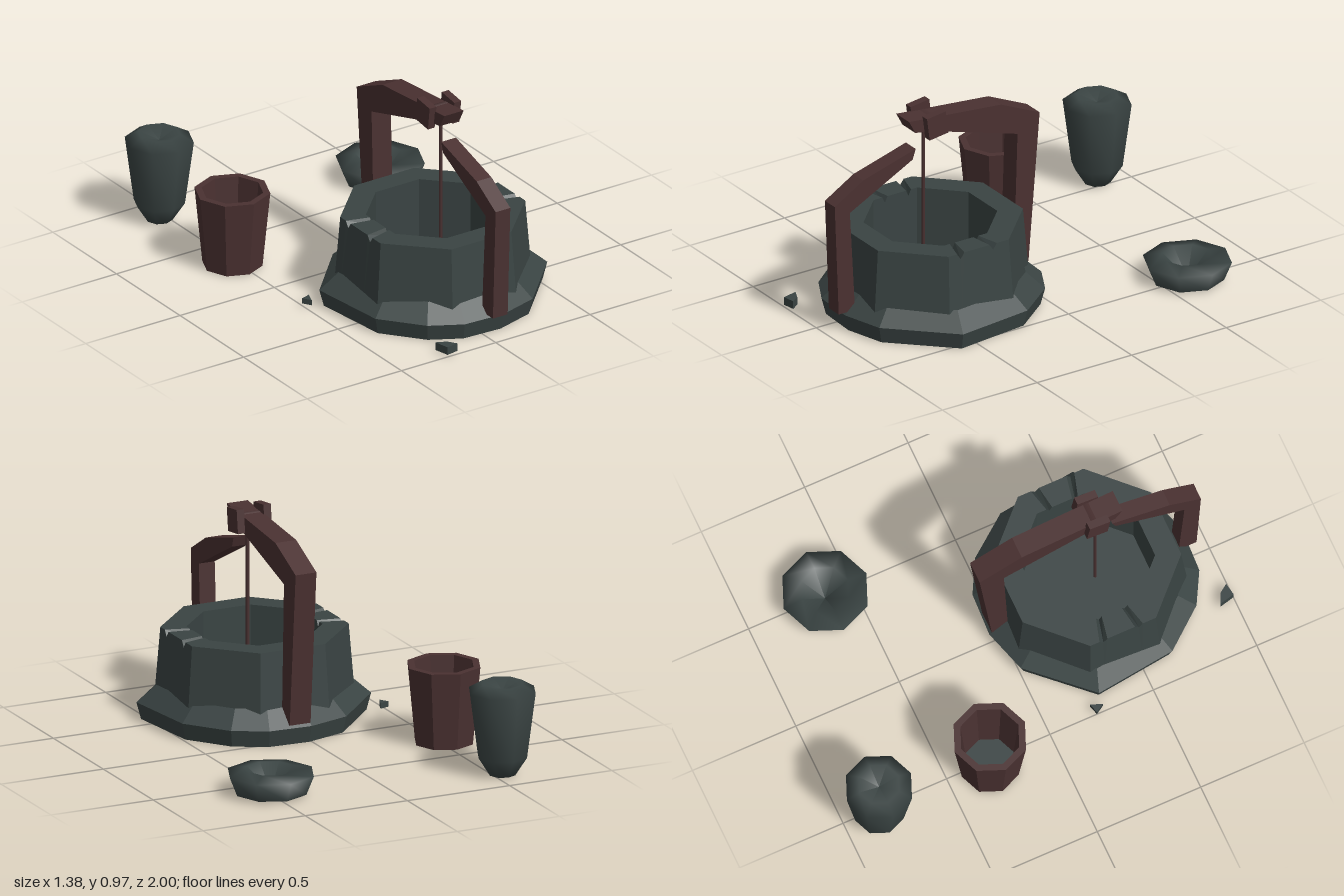
import * as THREE from 'three';

const CX = 0.05, CZ = 0.43; // centre of the well

export function createModel() {
  const model = new THREE.Group();
  const stone = new THREE.MeshStandardMaterial({ color: 0x3a4443 });
  stone.name = 'slate stone';
  const wood = new THREE.MeshStandardMaterial({ color: 0x4a3131 });
  wood.name = 'dark wood';
  const clay = new THREE.MeshStandardMaterial({ color: 0x3a4443, side: THREE.DoubleSide });
  clay.name = 'slate clay';

  const add = (name, geometry, material, x = 0, y = 0, z = 0) => {
    const mesh = new THREE.Mesh(geometry, material);
    mesh.name = name;
    mesh.position.set(x, y, z);
    model.add(mesh);
    return mesh;
  };
  const faceted = (g) => {
    const flat = g.index ? g.toNonIndexed() : g;
    flat.computeVertexNormals();
    return flat;
  };
  const lathe = (pts) => new THREE.LatheGeometry(pts.map(([r, y]) => new THREE.Vector2(r, y)), 8);

  // closed loop of profiles joined by flat quads
  const loft = (columns) => {
    const pos = [];
    columns.forEach((col, j) => {
      const next = columns[(j + 1) % columns.length];
      for (let i = 0; i < col.length - 1; i++) {
        pos.push(...col[i], ...col[i + 1], ...next[i]);
        pos.push(...col[i + 1], ...next[i + 1], ...next[i]);
      }
    });
    const g = new THREE.BufferGeometry();
    g.setAttribute('position', new THREE.Float32BufferAttribute(pos, 3));
    return faceted(g);
  };

  // irregular flared base with a hollow underside
  const basePlan = [
    [-0.19, 0], [0.01, -0.06], [0.21, -0.05], [0.36, 0.03], [0.505, 0.22], [0.55, 0.59],
    [0.29, 0.86], [0.10, 0.915], [-0.10, 0.905], [-0.245, 0.825], [-0.395, 0.64], [-0.44, 0.265],
  ];
  add('wellBase', loft(basePlan.map(([px, pz]) => {
    const x = px - CX, z = pz - CZ, k = 0.29 / Math.hypot(x, z);
    return [[x * k, 0.1, z * k], [x * 0.96, 0.01, z * 0.96], [x, 0.088, z], [x * 0.83, 0.165, z * 0.83]];
  })), stone, CX, 0, CZ);

  // eight-sided wall, with two V grooves across the rim on each side
  const wall = [];
  const corner = (i) => {
    const a = (i - 0.5) * Math.PI / 4;
    return [Math.cos(a), Math.sin(a)];
  };
  for (let s = 0; s < 8; s++) {
    const a = corner(s), b = corner(s + 1);
    const stops = [[0, 0]];
    if (s % 4 === 0) {
      for (const t of [0.26, 0.8]) stops.push([t - 0.06, 0], [t, 0.028], [t + 0.06, 0]);
    }
    for (const [t, dip] of stops) {
      const x = a[0] + (b[0] - a[0]) * t, z = a[1] + (b[1] - a[1]) * t, h = 0.42 - dip;
      wall.push([[x * 0.44, 0.12, z * 0.44], [x * 0.415, h, z * 0.415],
        [x * 0.3, h, z * 0.3], [x * 0.3, 0.09, z * 0.3]]);
    }
  }
  add('wellWall', loft(wall), stone, CX, 0, CZ);
  const disc = (r) => new THREE.CircleGeometry(r, 8).rotateX(-Math.PI / 2);
  add('wellFloor', disc(0.31), clay, CX, 0.1, CZ).rotation.y = Math.PI / 8;

  // bent timbers, drawn as (z, y) outlines
  const timber = (name, pts, width) => {
    const shape = new THREE.Shape(pts.map(([z, y]) => new THREE.Vector2(z, y)));
    const g = new THREE.ExtrudeGeometry(shape, { depth: width, bevelEnabled: false });
    g.rotateY(-Math.PI / 2).translate(width / 2, 0, 0);
    add(name, g, wood, 0.06);
  };
  timber('frontArm', [[0.947, 0.1], [0.968, 0.63], [0.818, 0.72], [0.54, 0.8],
    [0.556, 0.752], [0.888, 0.58], [0.861, 0.1]], 0.078);
  timber('backArm', [[0.03, 0.1], [0.01, 0.736], [0.46, 0.87], [0.55, 0.885],
    [0.583, 0.947], [0.096, 0.902], [-0.107, 0.81], [-0.048, 0.1]], 0.102);

  // spool ends and rope
  for (const [x, y] of [[-0.003, 0.915], [0.128, 0.908]]) {
    const block = add('spoolEnd', new THREE.BoxGeometry(0.036, 0.108, 0.1), wood, x, y, 0.455);
    block.rotation.x = 0.13;
  }
  add('spoolAxle', new THREE.CylinderGeometry(0.03, 0.03, 0.13, 6).rotateZ(Math.PI / 2), wood, 0.062, 0.91, 0.455);
  add('rope', new THREE.CylinderGeometry(0.008, 0.008, 0.78, 6), wood, 0.062, 0.49, 0.475);

  // bucket with stone-coloured bottom
  add('bucket', faceted(lathe([[0.135, 0.012], [0.17, 0.37], [0.138, 0.37], [0.115, 0.04]])), wood, -0.52, 0, -0.3);
  add('bucketFloor', disc(0.117), clay, -0.52, 0.045, -0.3);
  add('bucketBottom', disc(0.135), clay, -0.52, 0.013, -0.3);

  // tall jar and low open-bottomed jar, both with a sunken top
  add('tallJar', lathe([[0, 0.012], [0.06, 0.014], [0.115, 0.1], [0.155, 0.4],
    [0.095, 0.436], [0, 0.4]]), clay, -0.54, 0, -0.845);
  add('lowJar', lathe([[0.165, 0.018], [0.2, 0.105], [0.11, 0.123], [0, 0.012]]), clay, 0.49, 0, -0.635);

  // loose chips of stone, drawn as (x, z) outlines
  const chip = (pts, y, height) => {
    const shape = new THREE.Shape(pts.map(([x, z]) => new THREE.Vector2(x, -z)));
    const g = new THREE.ExtrudeGeometry(shape, { depth: height, bevelEnabled: false });
    add('stoneChip', g.rotateX(-Math.PI / 2), stone, 0, y, 0);
  };
  chip([[-0.505, 0.225], [-0.46, 0.212], [-0.48, 0.265]], 0.025, 0.025);
  chip([[-0.272, 0.928], [-0.225, 0.95], [-0.197, 0.99], [-0.255, 1]], 0.02, 0.037);

  return model;
}
